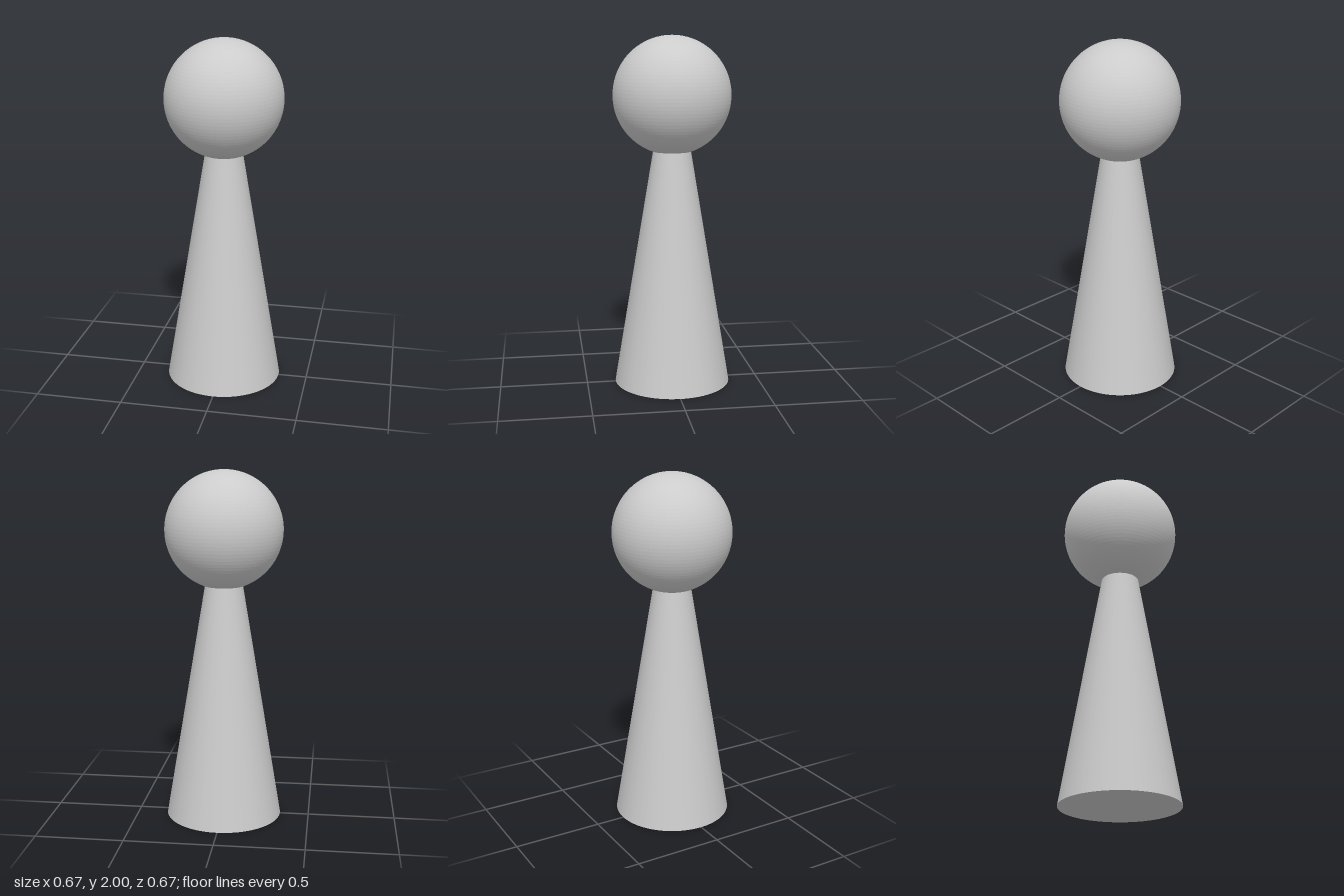
import * as THREE from 'three';

const SEGMENTS = 100;
const RADIUS = 1 / 3; // shared by the head and the foot of the body
const HEIGHT = 2;

export function createModel() {
  const group = new THREE.Group();
  group.name = 'pawn';
  const material = new THREE.MeshStandardMaterial({ color: 0xcccccc, flatShading: true });

  const add = (name, geometry, y) => {
    const mesh = new THREE.Mesh(geometry, material);
    mesh.name = name;
    mesh.position.y = y;
    group.add(mesh);
  };

  // Body: a cone tapering towards the top of the head, cut off inside the head
  const bodyHeight = 1.5;
  const neckRadius = RADIUS * (1 - bodyHeight / HEIGHT);
  add('body', new THREE.CylinderGeometry(neckRadius, RADIUS, bodyHeight, SEGMENTS), bodyHeight / 2);

  // Head: a ball as wide as the foot
  add('head', new THREE.SphereGeometry(RADIUS, SEGMENTS, SEGMENTS / 2), HEIGHT - RADIUS);

  return group;
}
